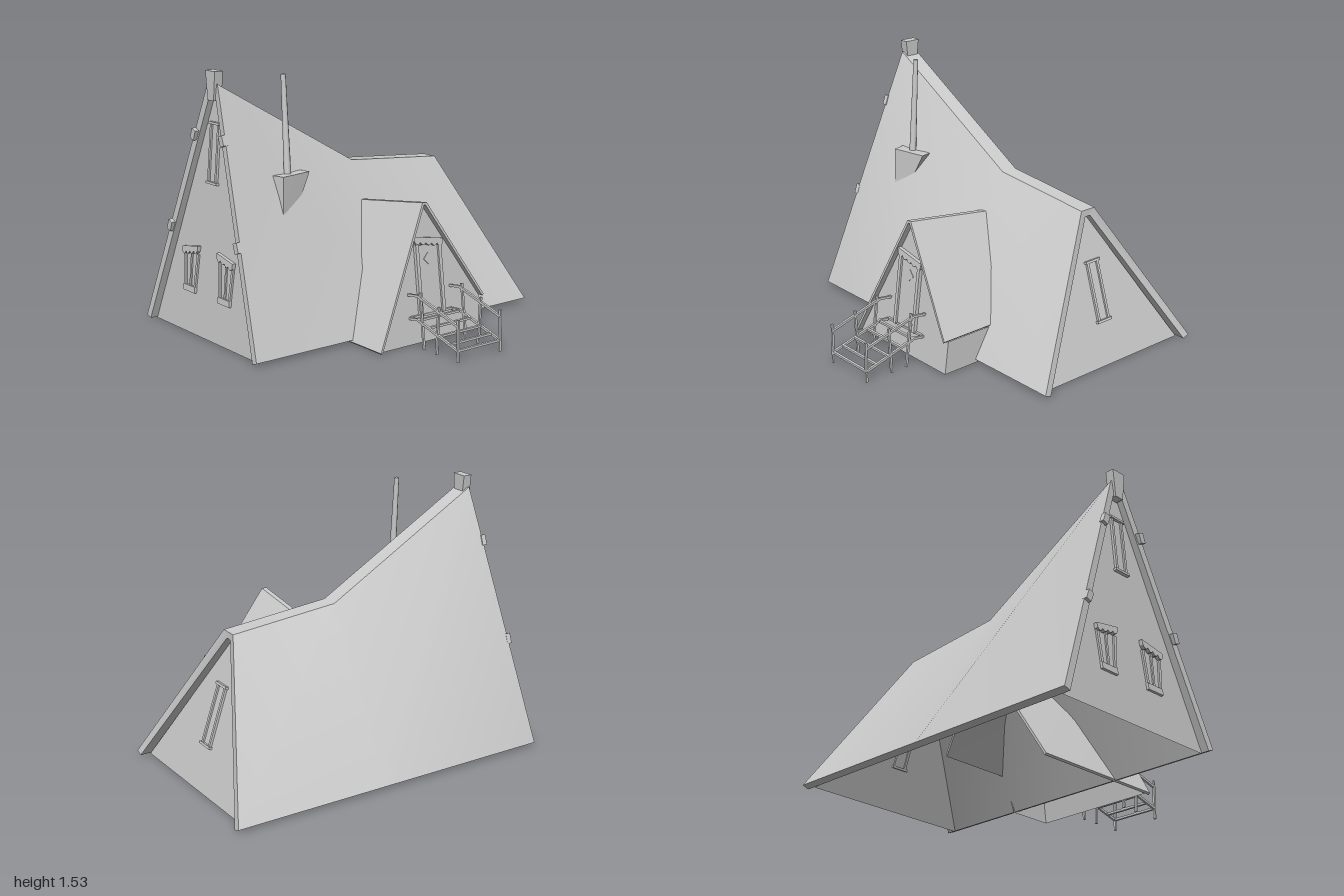
import * as THREE from 'three';
import { toCreasedNormals } from 'three/addons/utils/BufferGeometryUtils.js';

const mat = new THREE.MeshStandardMaterial({ color: 0xcccccc, side: THREE.DoubleSide });
const CX = -0.31; // centre line of the main house

function mesh(geo, name, parent, crease = 0.45) {
  const m = new THREE.Mesh(toCreasedNormals(geo, crease), mat);
  m.name = name;
  parent.add(m);
  return m;
}

// Geometry from polygons given as lists of [x, y, z] corners
function faces(polys) {
  const pos = [];
  for (const p of polys)
    for (let i = 1; i < p.length - 1; i++) pos.push(...p[0], ...p[i], ...p[i + 1]);
  const g = new THREE.BufferGeometry();
  g.setAttribute('position', new THREE.Float32BufferAttribute(pos, 3));
  return g;
}

// Thick gabled roof lofted through eight-point rings:
// eave, ridge, ridge, eave on the outside, then the same back along the inside
function gableRoof(rings) {
  const polys = [];
  for (let s = 0; s < rings.length - 1; s++) {
    const a = rings[s], b = rings[s + 1];
    for (let i = 0; i < 8; i++) {
      const j = (i + 1) % 8;
      // both slopes fold along the same mirrored diagonal
      polys.push(i % 4 === 0 ? [a[j], b[j], b[i], a[i]] : [a[i], a[j], b[j], b[i]]);
    }
  }
  const first = rings[0], last = rings[rings.length - 1];
  for (let i = 0; i < 3; i++) {
    polys.push([first[i], first[7 - i], first[6 - i], first[i + 1]]);
    polys.push([last[i], last[i + 1], last[6 - i], last[7 - i]]);
  }
  return faces(polys);
}

// Square bar between two points
function bar(parent, name, a, b, w, d = w) {
  const A = new THREE.Vector3(...a), B = new THREE.Vector3(...b);
  const m = mesh(new THREE.BoxGeometry(w, A.distanceTo(B), d), name, parent);
  m.position.copy(A).add(B).multiplyScalar(0.5);
  m.quaternion.setFromUnitVectors(new THREE.Vector3(0, 1, 0), B.sub(A).normalize());
}

function box(parent, name, x, y, z, w, h, d) {
  const m = mesh(new THREE.BoxGeometry(w, h, d), name, parent);
  m.position.set(x, y, z);
  return m;
}

// Slanted awning board with a scalloped lower edge
function awning(parent, half, yLeft, yRight, drop, n) {
  const s = new THREE.Shape();
  s.moveTo(half, yRight);
  s.lineTo(-half, yLeft);
  const at = (t) => [half * (2 * t - 1) * 0.95, yLeft + (yRight - yLeft) * t - drop];
  s.lineTo(...at(0));
  for (let i = 0; i < n; i++) {
    const [mx, my] = at((i + 0.5) / n);
    s.quadraticCurveTo(mx, my - 0.03, ...at((i + 1) / n));
  }
  mesh(new THREE.ExtrudeGeometry(s, { depth: 0.025, bevelEnabled: false, curveSegments: 4 }), 'awning', parent);
}

// Group lying on a leaning wall
function onWall(parent, name, pos, turn, lean) {
  const g = new THREE.Group();
  g.name = name;
  g.position.set(...pos);
  g.rotation.set(-lean, turn, 0, 'YXZ');
  parent.add(g);
  return g;
}

// Narrow window: two posts between a lintel and a sill
function slitWindow(g, h) {
  box(g, 'pane', 0, 0, 0, 0.07, h - 0.02, 0.008);
  for (const s of [-1, 1]) {
    box(g, 'windowPost', s * 0.037, 0, 0.002, 0.016, h - 0.02, 0.024);
    box(g, 'windowRail', 0, s * (h / 2 - 0.007), 0.003, 0.108, 0.014, 0.034);
  }
}

// Tapered window; dir is the side on which the awning rises
function frontWindow(g, dir) {
  const pane = [[-0.045, 0.03, 0.004], [0.045, 0.03, 0.004], [0.062, 0.22, 0.004], [-0.062, 0.22, 0.004]];
  mesh(faces([pane]), 'pane', g);
  for (const s of [-1, 1]) bar(g, 'windowPost', [s * 0.05, 0.03, 0], [s * 0.068, 0.23, 0], 0.018, 0.028);
  bar(g, 'mullion', [0, 0.03, 0], [0, 0.23, 0], 0.014, 0.024);
  box(g, 'windowSill', 0, 0.018, 0, 0.12, 0.036, 0.036);
  awning(g, 0.083, 0.268 - dir * 0.015, 0.268 + dir * 0.015, 0.03, 4);
}

export function createModel() {
  const model = new THREE.Group();
  model.name = 'cottage';

  // Main roof: sagging ridge, raked front and back
  const mainRing = (zEave, zRidge, y) => [
    [CX - 0.58, 0.02, zEave], [CX - 0.05, y, zRidge], [CX + 0.05, y, zRidge], [CX + 0.58, 0.02, zEave],
    [CX + 0.54, 0.005, zEave], [CX + 0.018, y - 0.04, zRidge], [CX - 0.018, y - 0.04, zRidge], [CX - 0.54, 0.005, zEave],
  ];
  mesh(gableRoof([mainRing(1, 0.87, 1.46), mainRing(-0.06, -0.06, 0.925), mainRing(-1, -0.71, 0.87)]), 'mainRoof', model);

  // End walls set in under the roof
  const endWall = (zFoot, zTop, y, s) => faces([[[CX - s * 0.54, 0, zFoot], [CX + s * 0.54, 0, zFoot], [CX + s * 0.018, y, zTop], [CX - s * 0.018, y, zTop]]]);
  mesh(endWall(0.955, 0.834, 1.42, 1), 'frontWall', model);
  mesh(endWall(-0.937, -0.66, 0.83, -1), 'backWall', model);

  // Side porch: roof running on inside the house, gable wall and low back wall
  mesh(gableRoof([
    [[0.53, 0.01, 0.352], [0.43, 0.79, -0.025], [0.43, 0.79, -0.055], [0.505, 0.205, -0.432],
      [0.505, 0.195, -0.422], [0.432, 0.776, -0.045], [0.432, 0.776, -0.035], [0.53, 0, 0.342]],
    [[-0.33, 0.01, 0.352], [-0.44, 0.668, -0.025], [-0.44, 0.668, -0.055], [-0.33, 0.205, -0.432],
      [-0.33, 0.195, -0.422], [-0.44, 0.654, -0.045], [-0.44, 0.654, -0.035], [-0.33, 0, 0.342]],
  ]), 'porchRoof', model);
  const px = (y) => 0.495 - 0.127 * y;
  mesh(faces([
    [[px(0), 0, 0.342], [px(0), 0, -0.426], [px(0.195), 0.195, -0.426], [px(0.776), 0.776, -0.04]],
    [[px(0), 0, -0.426], [0.22, 0, -0.426], [0.14, 0.195, -0.426], [px(0.195), 0.195, -0.426]],
  ]), 'porchWalls', model);

  // Front and back windows
  const fz = (y) => 0.952 - 0.085 * y;
  for (const s of [-1, 1]) frontWindow(onWall(model, 'frontWindow', [CX + s * 0.18, 0.241, fz(0.241)], 0, 0.085), -s);
  slitWindow(onWall(model, 'atticWindow', [CX, 1.067, fz(1.067) + 0.003], 0, 0.085), 0.35);
  slitWindow(onWall(model, 'backWindow', [CX, 0.405, -0.937 + 0.335 * 0.405], Math.PI, 0.323), 0.36);

  // Porch door
  const door = onWall(model, 'door', [px(0.15), 0.15, -0.057], Math.PI / 2, 0.127);
  box(door, 'doorLeaf', 0, 0.2, 0.003, 0.15, 0.4, 0.012);
  for (const s of [-1, 1]) box(door, 'doorPost', s * 0.083, 0.205, 0.006, 0.022, 0.41, 0.03);
  box(door, 'doorPane', 0, 0.32, 0.006, 0.05, 0.05, 0.012).rotation.z = Math.PI / 4;
  awning(door, 0.107, 0.458, 0.42, 0.03, 5);

  // Keystone on the front ridge
  const key = new THREE.Shape();
  [[-0.03, 1.365], [0.03, 1.365], [0.048, 1.53], [-0.048, 1.53]].forEach(([x, y], i) => (i ? key.lineTo(x, y) : key.moveTo(x, y)));
  mesh(new THREE.ExtrudeGeometry(key, { depth: 0.053, bevelEnabled: false }), 'keystone', model).position.set(CX, 0, 0.832);

  // Clips along the front roof edges
  for (const s of [-1, 1])
    for (const [x, y] of [[0.146, 1.16], [0.346, 0.605]]) {
      const clip = box(model, 'roofClip', CX + s * x, y, 1.006 - 0.089 * y, 0.038, 0.06, 0.03);
      clip.rotation.z = s * 0.35;
    }

  // Chimney block narrowing into the roof slope, with a leaning pipe
  const top = [[-0.105, 0.95, 0.425], [-0.04, 0.95, 0.412], [0.005, 0.95, 0.622], [-0.075, 0.95, 0.642]];
  const low = [[-0.09, 0.7, 0.54], [-0.015, 0.7, 0.54], [0.007, 0.7, 0.627], [-0.075, 0.7, 0.642]];
  mesh(faces([[...top].reverse(), ...top.map((p, i) => [p, top[(i + 1) % 4], low[(i + 1) % 4], low[i]])]), 'chimneyBlock', model);
  const pipe = mesh(new THREE.CylinderGeometry(0.014, 0.021, 0.58, 12), 'chimneyPipe', model, 0.8);
  pipe.position.set(-0.085, 1.217, 0.542);
  pipe.rotation.z = 0.055;

  // Steps with a railing on both sides
  const stairs = new THREE.Group();
  stairs.name = 'stairs';
  model.add(stairs);
  const railY = (x) => 0.16 - 0.28 * (x - 0.54);
  for (const z of [0.1, -0.21]) {
    for (const up of [0, 0.137]) {
      bar(stairs, 'rail', [0.46, 0.148 + up, z], [0.545, 0.16 + up, z], 0.014);
      bar(stairs, 'rail', [0.54, 0.16 + up, z], [0.88, railY(0.88) + up, z], 0.014);
    }
    bar(stairs, 'railPost', [0.56, 0.32, z], [0.6, 0, z], 0.013);
    bar(stairs, 'railPost', [0.72, 0.275, z], [0.705, 0, z], 0.013);
    bar(stairs, 'railPost', [0.88, 0.24, z], [0.88, 0, z], 0.013);
  }
  for (const x of [0.48, 0.545, 0.635, 0.725, 0.81, 0.878])
    box(stairs, 'step', x, Math.min(railY(x), 0.155), -0.055, 0.016, 0.013, 0.31);

  return model;
}
